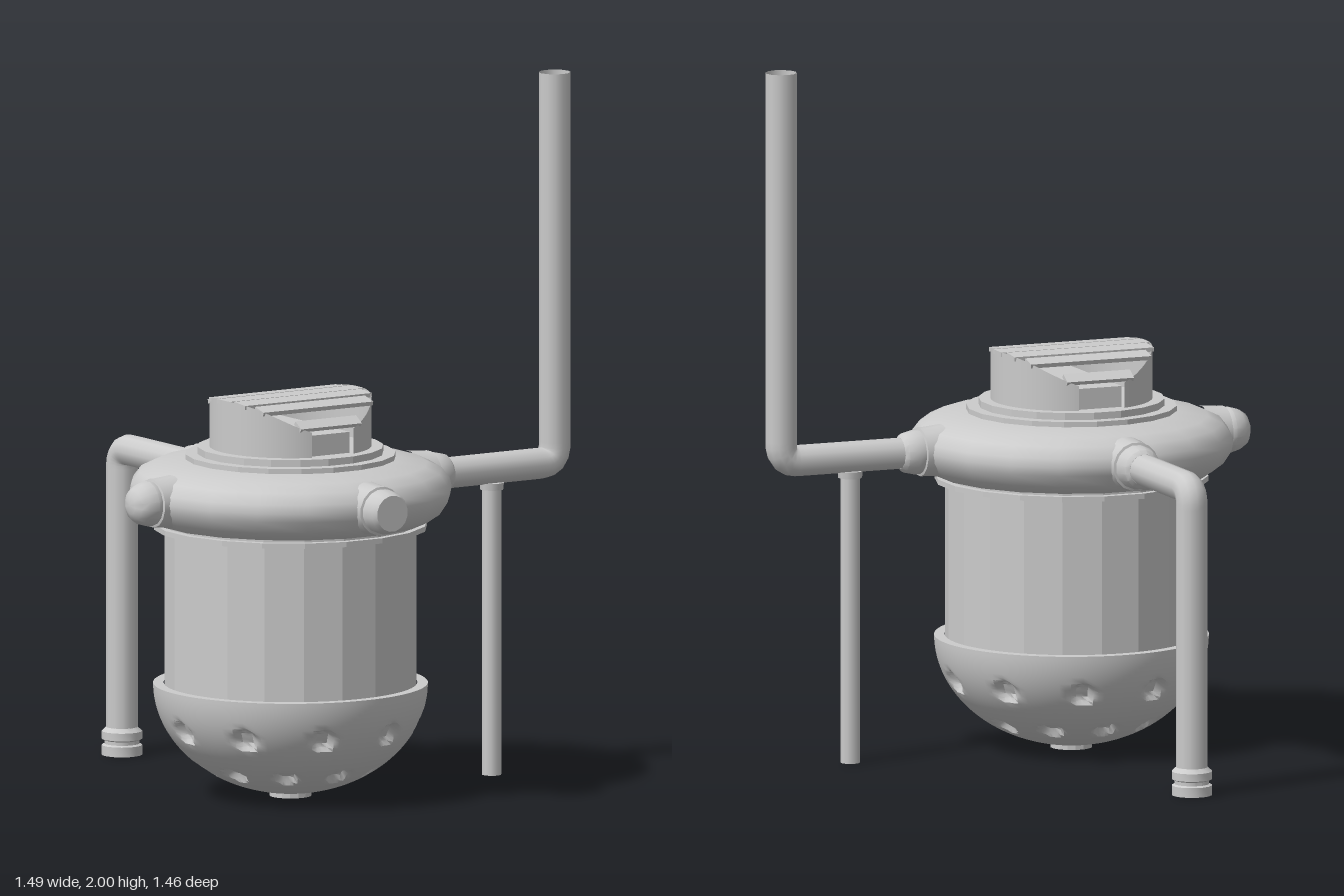
import * as THREE from 'three';
import { toCreasedNormals } from 'three/addons/utils/BufferGeometryUtils.js';

const material = new THREE.MeshStandardMaterial({ color: 0xcccccc });
const thin = new THREE.MeshStandardMaterial({ color: 0xcccccc, side: THREE.DoubleSide });

const AXIS_Y = 0.88; // height of the pipe sockets
const SIDES = 20;

function add(parent, name, geometry, mat = material) {
  const mesh = new THREE.Mesh(geometry, mat);
  mesh.name = name;
  parent.add(mesh);
  return mesh;
}

// Turned part from [radius, height] pairs, listed bottom to top
function turned(points, sides = SIDES, crease = 0.3) {
  const profile = points.map(([r, y]) => new THREE.Vector2(r, y));
  const geometry = new THREE.LatheGeometry(profile, sides);
  geometry.rotateY(Math.PI / sides);
  return toCreasedNormals(geometry, crease);
}

// Pipe that runs straight, turns a tight elbow and runs straight again
function bentPipe(start, corner, end, radius) {
  const bend = 0.05;
  const a = corner.clone().add(start.clone().sub(corner).setLength(bend));
  const b = corner.clone().add(end.clone().sub(corner).setLength(bend));
  const path = new THREE.CurvePath();
  path.add(new THREE.LineCurve3(start, a));
  path.add(new THREE.QuadraticBezierCurve3(a, corner, b));
  path.add(new THREE.LineCurve3(b, end));
  return new THREE.TubeGeometry(path, 90, radius, 12, false);
}

// Rounded bowl with two staggered rows of dimples
function dimpledBowl() {
  const profile = [];
  const rows = 48;
  const at = (t) => new THREE.Vector2(0.39 * Math.sin(t), 0.325 - 0.315 * Math.cos(t));
  for (let i = 0; i <= rows; i++) profile.push(at((i / rows) * Math.PI / 2));
  profile.push(new THREE.Vector2(0.36, 0.325));
  const geometry = new THREE.LatheGeometry(profile, 140);

  const dimples = [];
  for (const [t, shift] of [[1.197, 0.5], [0.705, 0]]) {
    for (let i = 0; i < 10; i++) {
      const p = at(t);
      const angle = (i + shift) * Math.PI / 5;
      dimples.push(new THREE.Vector3(p.x * Math.sin(angle), p.y, p.x * Math.cos(angle)));
    }
  }
  const pos = geometry.attributes.position;
  const centre = new THREE.Vector3(0, 0.325, 0);
  const v = new THREE.Vector3();
  for (let i = 0; i < pos.count; i++) {
    v.fromBufferAttribute(pos, i);
    for (const d of dimples) {
      const depth = 0.022 * (1 - THREE.MathUtils.smoothstep(v.distanceTo(d), 0.022, 0.042));
      if (depth > 0) {
        v.add(centre.clone().sub(d).setLength(depth));
        break;
      }
    }
    pos.setXYZ(i, v.x, v.y, v.z);
  }
  return toCreasedNormals(geometry, 0.6);
}

// Arched louvre vent on top
function makeVent() {
  const vent = new THREE.Group();
  vent.name = 'vent';
  const R = 0.23;
  const arch = (z) => 1.155 - 7.4 * Math.abs(z) ** 3;

  // Two side walls whose tops follow the arch, open at front and back
  const gap = Math.asin(0.07 / R);
  for (const side of [0, 1]) {
    const wall = new THREE.CylinderGeometry(R, R, 1, 24, 1, true, gap + side * Math.PI, Math.PI - 2 * gap);
    const pos = wall.attributes.position;
    for (let i = 0; i < pos.count; i++) {
      pos.setY(i, pos.getY(i) > 0 ? arch(pos.getZ(i)) : 1.0);
    }
    add(vent, side ? 'ventWallRight' : 'ventWallLeft', wall, thin);
  }

  // Slats across the arch
  for (const [z, width] of [[0, 0.062], [0.065, 0.058], [0.122, 0.045], [0.195, 0.036]]) {
    for (const s of z ? [1, -1] : [1]) {
      const length = 2 * Math.sqrt(R * R - (z + width * 0.3) ** 2);
      const slat = add(vent, 'ventSlat', new THREE.BoxGeometry(length, 0.012, width));
      slat.position.set(0, arch(z) - 0.007, s * z);
      slat.rotation.x = s * Math.atan(22.2 * z * z) * 0.8;
    }
  }
  const core = add(vent, 'ventCore', new THREE.BoxGeometry(0.14, 0.065, 0.4));
  core.position.y = 1.0325;
  return vent;
}

export function createModel() {
  const model = new THREE.Group();
  const unit = new THREE.Group();
  unit.name = 'filterUnit';
  unit.position.set(-0.2, 0, 0.2);
  model.add(unit);

  // Canister
  add(unit, 'bowl', dimpledBowl());
  add(unit, 'drainPlug', turned([[0, 0], [0.06, 0], [0.06, 0.03]], 16));
  add(unit, 'body', turned([[0.36, 0.3], [0.36, 0.8]]));
  add(unit, 'flange', turned([[0.35, 0.77], [0.39, 0.77], [0.39, 0.785], [0.37, 0.785], [0.37, 0.805]]));

  // Bulging head with stepped lid
  add(unit, 'head', turned([
    [0.34, 0.79], [0.395, 0.795], [0.432, 0.82], [0.455, 0.855], [0.46, 0.88],
    [0.455, 0.905], [0.432, 0.935], [0.39, 0.955], [0.29, 0.972], [0, 0.972],
  ], SIDES, 0.7));
  add(unit, 'lid', turned([
    [0.3, 0.96], [0.3, 0.985], [0.265, 0.985], [0.265, 1.005], [0, 1.005],
  ]));
  unit.add(makeVent());

  // Four sockets around the head
  const neck = [[0.075, 0.4], [0.07, 0.452], [0.07, 0.47], [0.063, 0.472]];
  const ends = {
    collar: [[0.063, 0.49], [0.056, 0.52], [0.045, 0.53], [0, 0.53]],
    blunt: [[0.064, 0.49], [0.06, 0.515], [0.052, 0.53], [0, 0.53]],
    round: [[0.066, 0.485], [0.058, 0.513], [0.045, 0.532], [0.025, 0.542], [0, 0.545]],
  };
  for (const [name, end, turn] of [
    ['frontCap', 'blunt', 0], ['outletSocket', 'collar', 1],
    ['drainSocket', 'collar', 2], ['sideCap', 'round', 3],
  ]) {
    const geometry = turned([...neck, ...ends[end]], 16, 0.6);
    geometry.rotateX(Math.PI / 2);
    geometry.rotateY(turn * Math.PI / 2);
    add(unit, name, geometry).position.y = AXIS_Y;
  }

  // Pipes
  const V = (x, y, z) => new THREE.Vector3(x, y, z);
  add(unit, 'risingPipe',
    bentPipe(V(0.48, AXIS_Y, 0), V(0.895, AXIS_Y, 0), V(0.895, 2, 0), 0.045), thin);
  add(unit, 'drainPipe',
    bentPipe(V(0, AXIS_Y, -0.48), V(0, AXIS_Y, -0.875), V(0, 0.04, -0.875), 0.045), thin);
  add(unit, 'drainFitting', turned([
    [0, 0], [0.058, 0], [0.058, 0.028], [0.05, 0.032], [0.05, 0.042],
    [0.058, 0.046], [0.058, 0.068], [0.045, 0.08],
  ], 16, 0.5)).position.z = -0.875;

  // Thin support leg under the rising pipe
  const leg = add(unit, 'supportLeg', new THREE.CylinderGeometry(0.028, 0.028, 0.84, 10));
  leg.position.set(0.682, 0.42, 0);
  const saddle = add(unit, 'legCollar', new THREE.CylinderGeometry(0.036, 0.034, 0.02, 10));
  saddle.position.set(0.682, 0.83, 0);

  return model;
}
